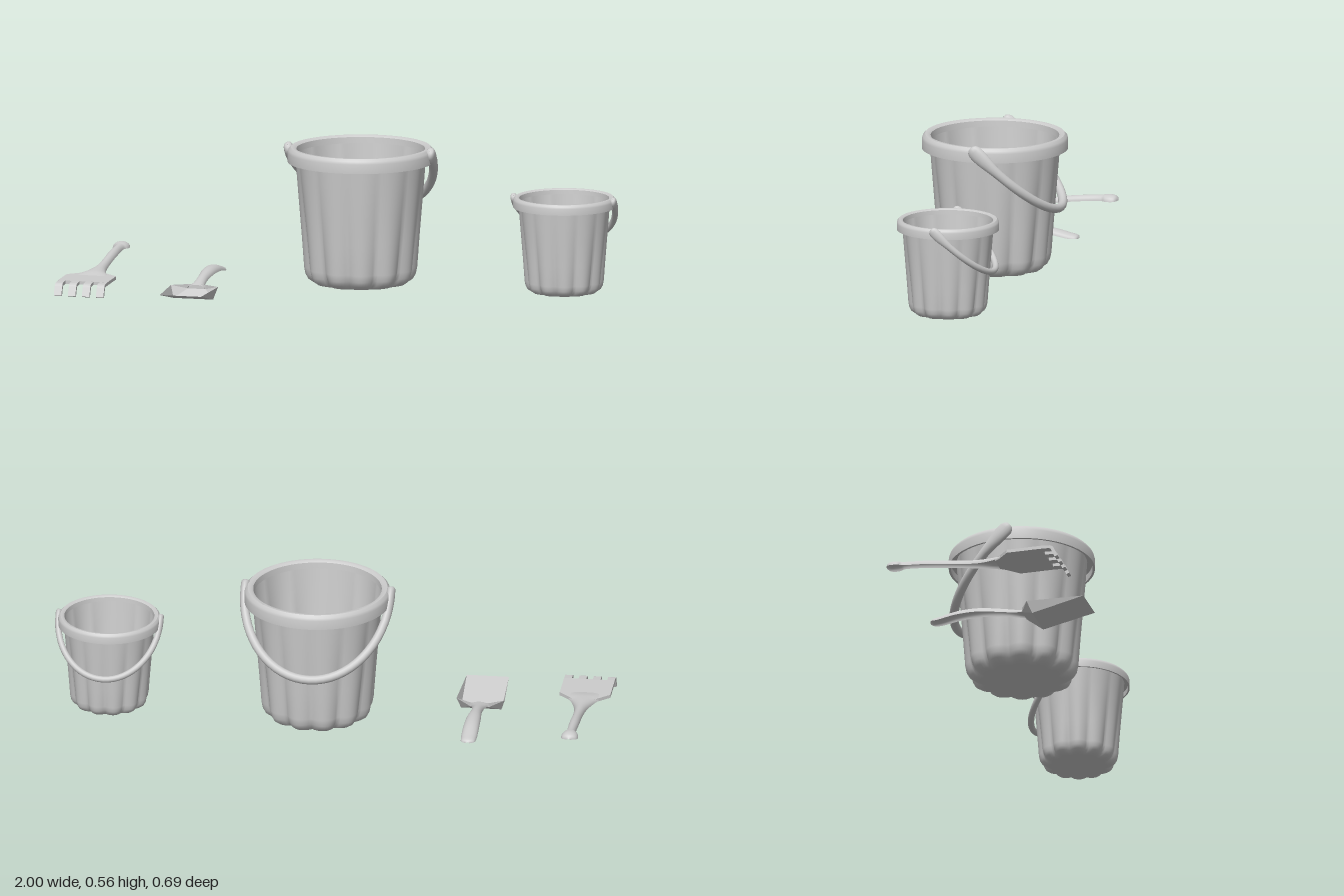
import * as THREE from 'three';
import { toCreasedNormals } from 'three/addons/utils/BufferGeometryUtils.js';

const material = new THREE.MeshStandardMaterial({ color: 0xcccccc, side: THREE.DoubleSide });

function part(name, geometry, parent) {
  const mesh = new THREE.Mesh(geometry, material);
  mesh.name = name;
  parent.add(mesh);
  return mesh;
}

// Smooth surface through rows of cross-section points; closed wraps each row
function loft(rows, closed) {
  const n = rows[0].length, index = [];
  for (let i = 0; i < rows.length - 1; i++) {
    for (let j = 0; j < (closed ? n : n - 1); j++) {
      const k = (j + 1) % n;
      const a = i * n + j, b = a + n, c = i * n + k, d = c + n;
      index.push(a, b, c, b, d, c);
    }
  }
  const g = new THREE.BufferGeometry();
  g.setAttribute('position', new THREE.Float32BufferAttribute(rows.flat(2), 3));
  g.setIndex(index);
  g.computeVertexNormals();
  return g;
}

// Arched shell, open underneath; stations are [z, top y, half width, arch height], z decreasing
function archShell(stations) {
  const curve = (k) => new THREE.CatmullRomCurve3(
    stations.map((s) => new THREE.Vector3(s[0], s[k], s[k + 1])), false, 'centripetal');
  const a = curve(1), b = curve(2), rows = [];
  const steps = (stations.length - 1) * 5;
  for (let i = 0; i <= steps; i++) {
    const p = a.getPoint(i / steps), h = Math.max(0, b.getPoint(i / steps).z), row = [];
    for (let j = 0; j <= 12; j++) {
      const t = (Math.PI * j) / 12;
      row.push([Math.max(0, p.z) * Math.cos(t), p.y - h + h * Math.sin(t), p.x]);
    }
    rows.push(row);
  }
  return loft(rows, false);
}

function createBucket(name) {
  const bucket = new THREE.Group();
  bucket.name = name;

  // Fluted wall and floor: [radius, height, flute depth]
  const profile = [[0.001, 0, 0], [0.1, 0, 0], [0.15, 0, 0.012], [0.172, 0.005, 0.02],
    [0.19, 0.017, 0.025], [0.2, 0.035, 0.024], [0.205, 0.06, 0.02], [0.213, 0.17, 0.014],
    [0.222, 0.28, 0.01], [0.231, 0.39, 0.006], [0.238, 0.485, 0.003]];
  const flutes = 12, sides = flutes * 10;
  part('bucketBody', loft(profile.map(([r, y, depth]) => Array.from({ length: sides }, (_, j) => {
    const t = (j / sides) * Math.PI * 2;
    const rr = r - depth * (1 - Math.abs(Math.sin((t * flutes) / 2)));
    return [rr * Math.cos(t), y, rr * Math.sin(t)];
  })), true), bucket);

  // Rolled rim with a hollow skirt
  const rim = [[0.236, 0.473], [0.257, 0.473], [0.257, 0.448], [0.265, 0.448], [0.265, 0.482],
    [0.262, 0.492], [0.253, 0.501], [0.241, 0.501], [0.233, 0.495], [0.231, 0.473]];
  const rimGeometry = new THREE.LatheGeometry(rim.map((p) => new THREE.Vector2(...p)), 64);
  part('bucketRim', toCreasedNormals(rimGeometry, 0.7), bucket);

  // Swung-back handle: half ellipse in a tilted plane, with paddle-shaped ends
  const X = new THREE.Vector3(1, 0, 0), D = new THREE.Vector3(0, -0.69, -0.724);
  const Q = new THREE.Vector3().crossVectors(X, D);
  const ends = [[-0.1, 0.001], [-0.095, 0.012], [-0.075, 0.021], [-0.04, 0.027], [0.02, 0.028],
    [0.1, 0.026], [0.2, 0.021], [0.3, 0.018], [0.42, 0.017]];
  const stations = [...ends];
  for (let i = 1; i < 24; i++) stations.push([0.42 + ((Math.PI - 0.84) * i) / 24, 0.017]);
  for (const [p, r] of [...ends].reverse()) stations.push([Math.PI - p, r]);
  const a = 0.266, b = 0.345;
  part('bucketHandle', loft(stations.map(([phi, r]) => {
    const c = Math.cos(phi), s = Math.sin(phi);
    const centre = new THREE.Vector3(a * c, 0.478, 0.005).addScaledVector(D, b * s);
    const N = X.clone().multiplyScalar(b * c).addScaledVector(D, a * s).normalize();
    return Array.from({ length: 16 }, (_, j) => {
      const t = (j / 16) * Math.PI * 2;
      return centre.clone().addScaledVector(N, Math.min(r, 0.016) * Math.cos(t))
        .addScaledVector(Q, r * Math.sin(t)).toArray();
    });
  }), true), bucket);
  return bucket;
}

function createRake() {
  const rake = new THREE.Group();
  rake.name = 'rake';

  // Flat head
  const half = [[0.0925, 0.285], [0.0925, 0.155], [0.05, 0.115], [0.035, 0.095]];
  const outline = [...half, ...half.map(([x, z]) => [-x, z]).reverse()];
  const plate = new THREE.ExtrudeGeometry(
    new THREE.Shape(outline.map((p) => new THREE.Vector2(...p))), { depth: 0.012, bevelEnabled: false });
  plate.rotateX(Math.PI / 2).translate(0, 0.075, 0);
  part('rakeHead', plate, rake);

  // Four tines bent down at the tip
  const side = new THREE.Shape();
  side.moveTo(0.28, 0.075);
  side.lineTo(0.315, 0.073);
  side.quadraticCurveTo(0.328, 0.071, 0.332, 0.06);
  side.lineTo(0.346, 0.03);
  side.lineTo(0.335, 0.026);
  side.lineTo(0.321, 0.056);
  side.quadraticCurveTo(0.318, 0.062, 0.312, 0.062);
  side.lineTo(0.28, 0.063);
  for (let i = 0; i < 4; i++) {
    const tine = new THREE.ExtrudeGeometry(side, { depth: 0.028, bevelEnabled: false, curveSegments: 5 });
    tine.translate(0, 0, -0.014).rotateY(-Math.PI / 2);
    part('rakeTine', tine, rake).position.x = (i - 1.5) * 0.0523;
  }

  // Flared neck, slim handle and end knob
  part('rakeHandle', archShell([[0.165, 0.076, 0.075, 0.008], [0.125, 0.084, 0.058, 0.018],
    [0.09, 0.087, 0.041, 0.022], [0.03, 0.09, 0.024, 0.022], [-0.04, 0.096, 0.018, 0.02],
    [-0.16, 0.112, 0.018, 0.02], [-0.26, 0.119, 0.019, 0.02], [-0.275, 0.121, 0.028, 0.022],
    [-0.295, 0.122, 0.031, 0.023], [-0.312, 0.118, 0.026, 0.018], [-0.323, 0.106, 0.004, 0.004]]), rake);
  return rake;
}

function createSpade() {
  const spade = new THREE.Group();
  spade.name = 'spade';

  // Faceted scoop: left-hand corners, mirrored for the right
  const lip = [0.077, 0.046, 0.333], wing = [0.088, 0.046, 0.122], neck = [0.033, 0.046, 0.09];
  const heel = [0.074, 0.002, 0.14], root = [0.033, 0.03, 0.09];
  const m = ([x, y, z]) => [-x, y, z];
  const faces = [
    [lip, heel, wing], [wing, heel, root], [wing, root, neck],
    [m(lip), m(wing), m(heel)], [m(wing), m(root), m(heel)], [m(wing), m(neck), m(root)],
    [lip, m(lip), m(heel)], [lip, m(heel), heel],
    [heel, m(heel), m(root)], [heel, m(root), root],
    [root, m(root), m(neck)], [root, m(neck), neck],
  ];
  const blade = new THREE.BufferGeometry();
  blade.setAttribute('position', new THREE.Float32BufferAttribute(faces.flat(2), 3));
  blade.computeVertexNormals();
  part('spadeBlade', blade, spade);

  // Arched grip
  part('spadeHandle', archShell([[0.1, 0.046, 0.033, 0.014], [0.06, 0.055, 0.023, 0.018],
    [0, 0.068, 0.02, 0.02], [-0.08, 0.079, 0.026, 0.022], [-0.16, 0.076, 0.029, 0.022],
    [-0.23, 0.06, 0.028, 0.018], [-0.255, 0.053, 0.023, 0.011], [-0.263, 0.045, 0.006, 0.004]]), spade);
  return spade;
}

export function createModel() {
  const model = new THREE.Group();
  model.name = 'beachToySet';

  const large = createBucket('largeBucket');
  large.position.set(0.04, 0.047, -0.08);
  const small = createBucket('smallBucket');
  small.position.set(0.8, 0.047, -0.08);
  small.scale.setScalar(0.7);
  const rake = createRake();
  rake.position.x = -0.907;
  const spade = createSpade();
  spade.position.x = -0.53;

  model.add(large, small, rake, spade);
  return model;
}
